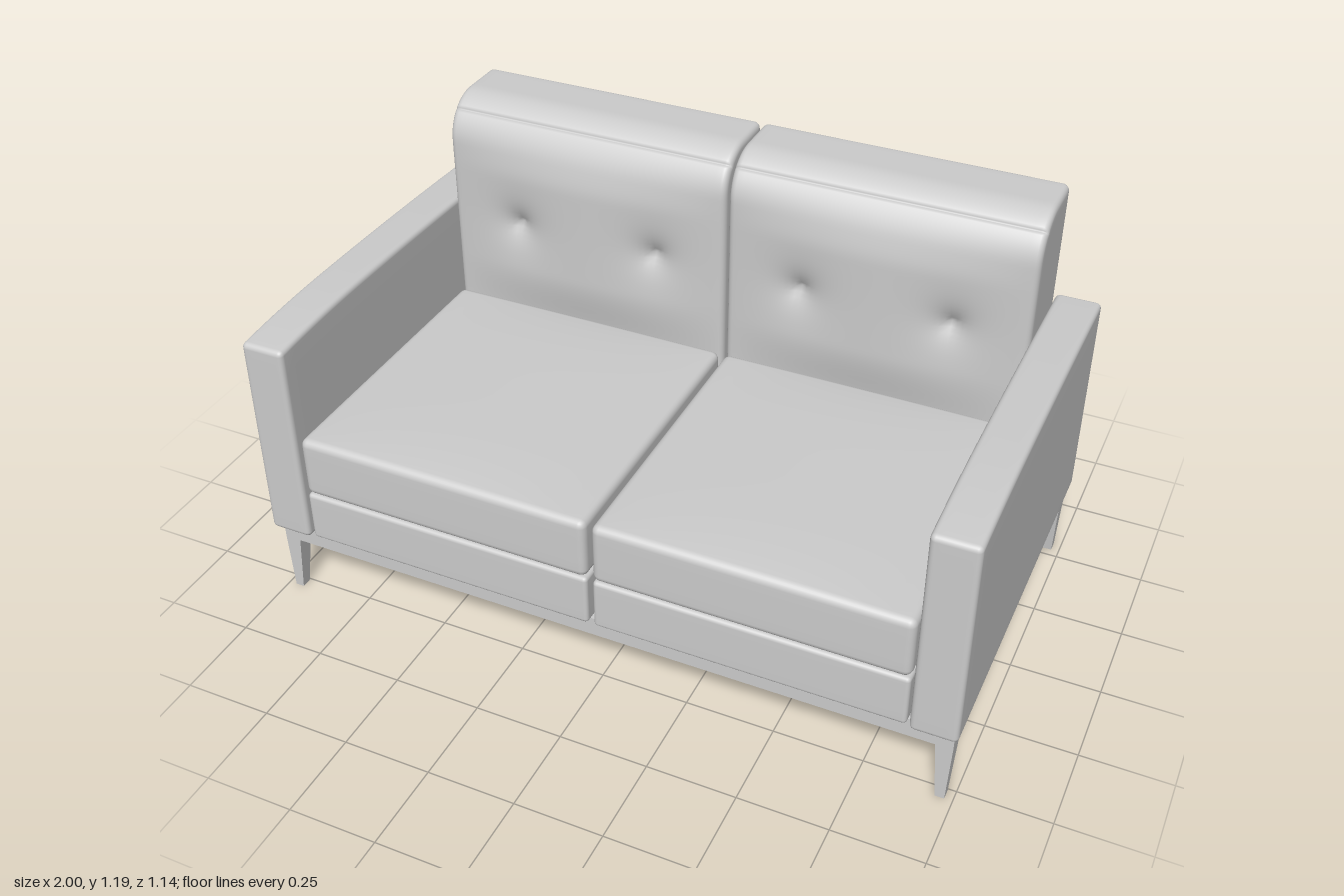
import * as THREE from 'three';
import { mergeVertices } from 'three/addons/utils/BufferGeometryUtils.js';

const material = new THREE.MeshStandardMaterial({ color: 0xcccccc });
const EDGE = 3; // grid rows spent on each rounded edge

// Rounded, finely divided block between two corners; rule(p, u) reshapes it,
// where u is the position inside the block from -1 to 1 on each axis
function pad(name, min, max, r, segs, rule) {
  const half = max.map((m, i) => (m - min[i]) / 2);
  const mid = max.map((m, i) => (m + min[i]) / 2);
  const box = new THREE.BoxGeometry(2, 2, 2, ...segs);
  box.deleteAttribute('uv');
  box.deleteAttribute('normal');
  const geo = mergeVertices(box, 1e-4);
  const pos = geo.attributes.position;
  const p = new THREE.Vector3(), inner = new THREE.Vector3(), u = new THREE.Vector3();
  for (let v = 0; v < pos.count; v++) {
    p.fromBufferAttribute(pos, v);
    for (let a = 0; a < 3; a++) {
      const n = segs[a], h = half[a], i = Math.round((p.getComponent(a) + 1) / 2 * n);
      let q;
      if (i <= EDGE) q = -h + r * i / EDGE;
      else if (n - i <= EDGE) q = h - r * (n - i) / EDGE;
      else q = (h - r) * (2 * (i - EDGE) / (n - 2 * EDGE) - 1);
      p.setComponent(a, q);
      inner.setComponent(a, THREE.MathUtils.clamp(q, r - h, h - r));
    }
    p.sub(inner).setLength(r).add(inner);
    u.set(p.x / half[0], p.y / half[1], p.z / half[2]);
    p.add(new THREE.Vector3(...mid));
    if (rule) rule(p, u);
    pos.setXYZ(v, p.x, p.y, p.z);
  }
  geo.computeVertexNormals();
  const mesh = new THREE.Mesh(geo, material);
  mesh.name = name;
  return mesh;
}

function block(name, min, max) {
  const size = max.map((m, i) => m - min[i]);
  const mesh = new THREE.Mesh(new THREE.BoxGeometry(...size), material);
  mesh.position.set(...max.map((m, i) => (m + min[i]) / 2));
  mesh.name = name;
  return mesh;
}

// Leg with straight outer faces, narrowing inwards towards the floor
function leg(sx, sz) {
  const geo = new THREE.BoxGeometry(1, 1, 1).toNonIndexed();
  const pos = geo.attributes.position;
  const zOut = sz > 0 ? 0.535 : 0.555;
  for (let i = 0; i < pos.count; i++) {
    const top = pos.getY(i) > 0;
    const outX = pos.getX(i) * sx > 0, outZ = pos.getZ(i) * sz > 0;
    const x = outX ? (top ? 0.985 : 0.978) : (top ? 0.938 : 0.953);
    const z = outZ ? zOut : zOut - (top ? 0.052 : 0.03);
    pos.setXYZ(i, sx * x, top ? 0.18 : 0, sz * z);
  }
  geo.computeVertexNormals();
  const mesh = new THREE.Mesh(geo, material);
  mesh.name = 'leg';
  return mesh;
}

// Back cushion: large roll at the top front, soft belly and two button pinches
const BACK = { top: 1.187, front: -0.31, roll: 0.125 };
function shapeBack(p, u, cx) {
  const a = (p.z - (BACK.front - BACK.roll)) / BACK.roll;
  const b = (p.y - (BACK.top - BACK.roll)) / BACK.roll;
  if (a > 0 && b > 0) {
    const k = Math.max(a, b) / Math.hypot(a, b);
    p.z = BACK.front - BACK.roll + a * k * BACK.roll;
    p.y = BACK.top - BACK.roll + b * k * BACK.roll;
  }
  if (u.z < 0) return;
  const fade = u.z ** 4;
  const rise = THREE.MathUtils.smoothstep(p.y, 0.5, 0.7) * (1 - THREE.MathUtils.smoothstep(p.y, 0.98, 1.14));
  let push = 0.025 * rise * (1 - u.x * u.x);
  for (const s of [-1, 1]) {
    const d = Math.hypot(p.x - cx - s * 0.216, p.y - 0.835);
    push -= 0.045 * Math.exp(-d / 0.05);
  }
  p.z += push * fade;
}

export function createModel() {
  const sofa = new THREE.Group();
  sofa.name = 'sofa';

  // Open base frame
  const frame = new THREE.Group();
  frame.name = 'baseFrame';
  frame.add(
    block('frontRail', [-0.985, 0.178, 0.49], [0.985, 0.235, 0.535]),
    block('backRail', [-0.985, 0.178, -0.555], [0.985, 0.235, -0.51])
  );
  for (const s of [-1, 1]) {
    const x = [s * 0.94, s * 0.985].sort((a, b) => a - b);
    frame.add(block('sideRail', [x[0], 0.178, -0.51], [x[1], 0.235, 0.49]));
    for (const sz of [-1, 1]) frame.add(leg(s, sz));
  }
  sofa.add(frame);

  for (const s of [-1, 1]) {
    const side = s > 0 ? 'left' : 'right';
    const span = (a, b) => (s > 0 ? [a, b] : [-b, -a]);

    // Armrest with a gently arched top
    const [a0, a1] = span(0.874, 1);
    sofa.add(pad(side + 'Armrest', [a0, 0.232, -0.568], [a1, 0.85, 0.568], 0.015, [12, 16, 32], (p, u) => {
      const t = p.z > 0.2 ? (p.z - 0.2) / 0.368 : (0.2 - p.z) / 0.768;
      p.y += 0.017 * (1 - t * t) * (u.y + 1) / 2;
    }));

    // Seat base and crowned seat cushion
    const [c0, c1] = span(0.008, 0.866);
    sofa.add(pad(side + 'SeatBase', [c0, 0.235, -0.31], [c1, 0.388, 0.56], 0.012, [10, 10, 10]));
    sofa.add(pad(side + 'SeatCushion', [c0, 0.39, -0.305], [c1, 0.572, 0.562], 0.022, [24, 10, 24], (p, u) => {
      if (u.y > 0) p.y += 0.012 * (1 - u.x * u.x) * (1 - u.z ** 4) * u.y;
    }));

    // Tufted back cushion
    const [b0, b1] = span(0.004, 0.87);
    sofa.add(pad(side + 'BackCushion', [b0, 0.235, -0.566], [b1, BACK.top, BACK.front], 0.02, [56, 64, 20],
      (p, u) => shapeBack(p, u, (b0 + b1) / 2)));
  }
  return sofa;
}
